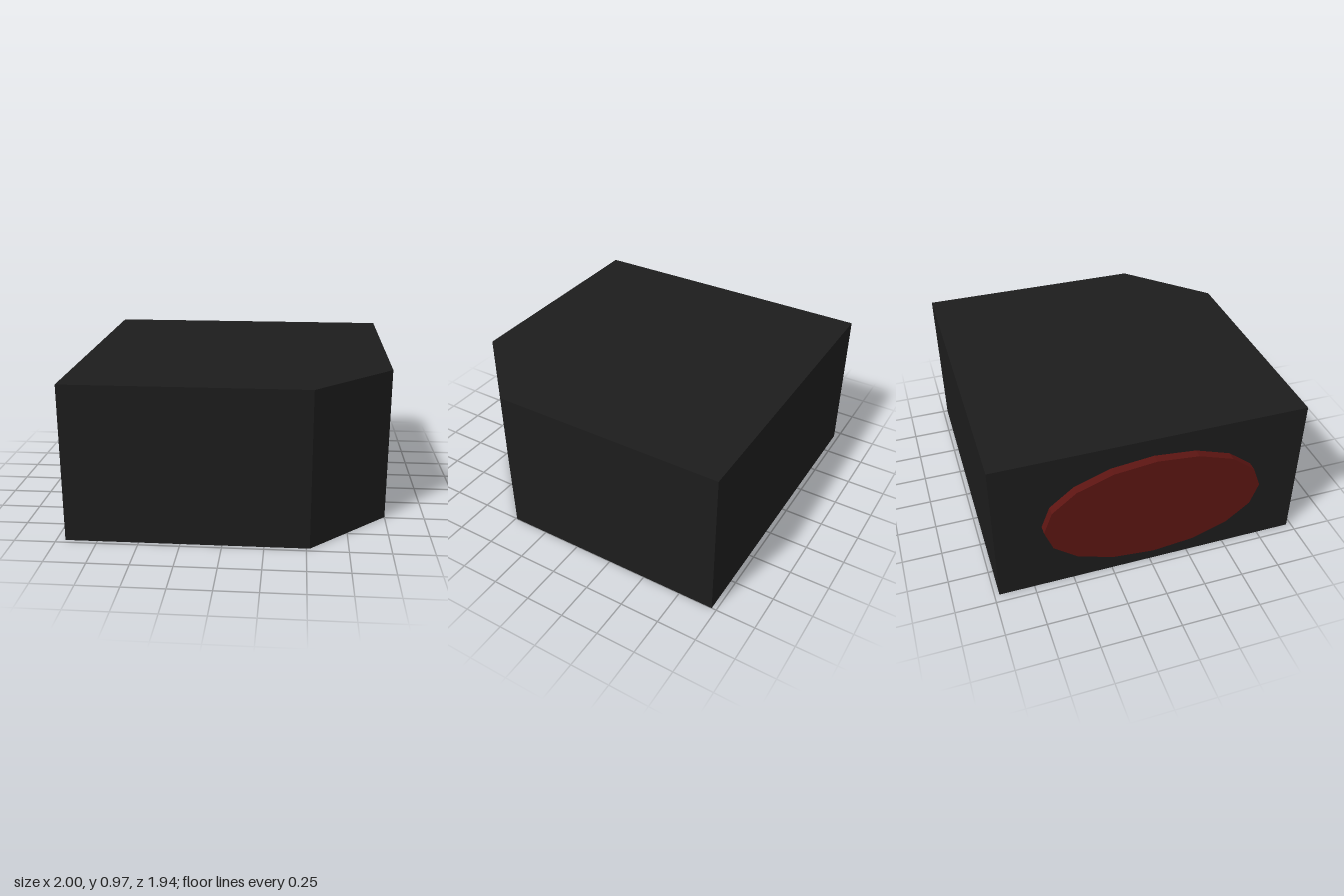
import * as THREE from 'three';

export function createModel() {
  const model = new THREE.Group();
  const height = 0.97, left = -0.945, half = 0.97;

  // Block with one bevelled front corner, extruded upwards
  const plan = new THREE.Shape([
    [left, -half], [0.52, -half], [1, -0.49], [1, half], [left, half],
  ].map(([x, y]) => new THREE.Vector2(x, y)));
  const blockGeometry = new THREE.ExtrudeGeometry(plan, { depth: height, bevelEnabled: false });
  blockGeometry.rotateX(-Math.PI / 2);
  const block = new THREE.Mesh(
    blockGeometry,
    new THREE.MeshStandardMaterial({ color: 0x1c1c1c, flatShading: true }),
  );
  block.name = 'block';
  model.add(block);

  // Faceted oval plate on the side face
  const plateGeometry = new THREE.CylinderGeometry(1, 1, 0.055, 16);
  plateGeometry.rotateZ(Math.PI / 2);
  plateGeometry.scale(1, 0.363, 0.683);
  const plate = new THREE.Mesh(
    plateGeometry,
    new THREE.MeshStandardMaterial({ color: 0x5c1512, flatShading: true }),
  );
  plate.position.set(-0.9725, 0.487, 0);
  plate.name = 'ovalPlate';
  model.add(plate);

  return model;
}
